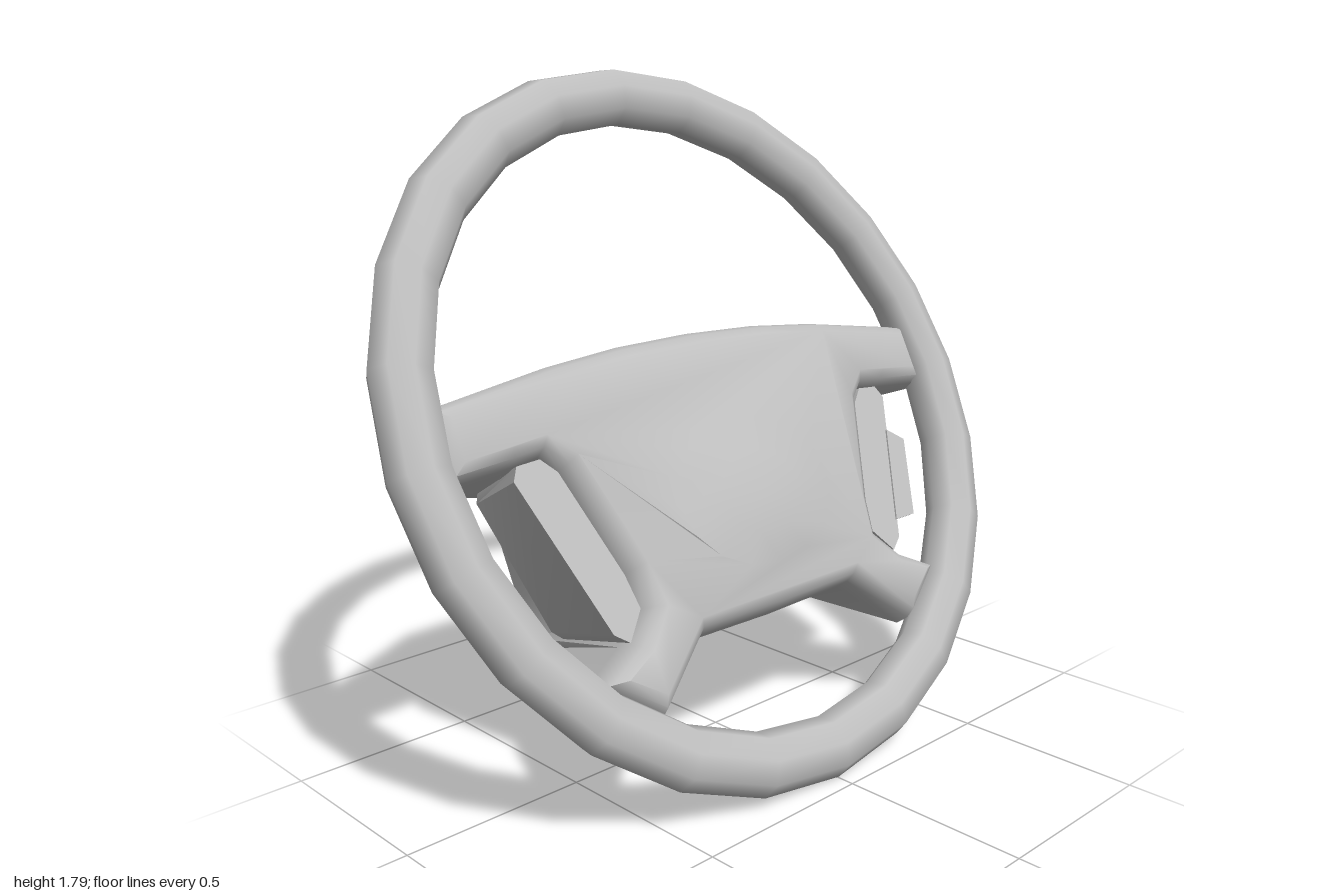
import * as THREE from 'three';
import { toCreasedNormals } from 'three/addons/utils/BufferGeometryUtils.js';

// Half outline of the hub, top to bottom: front x, front y, back x, back y
const HALF = [
  [0, 0.235, 0, 0.17], [0.25, 0.228, 0.15, 0.17], [0.48, 0.207, 0.3, 0.17],
  [0.86, 0.15, 0.41, 0.165], [0.86, -0.045, 0.46, 0], [0.67, -0.03, 0.47, -0.02],
  [0.59, -0.02, 0.47, -0.03], [0.545, -0.06, 0.47, -0.07], [0.45, -0.34, 0.47, -0.3],
  [0.435, -0.43, 0.47, -0.38], [0.5, -0.5, 0.47, -0.41], [0.64, -0.575, 0.46, -0.44],
  [0.47, -0.7, 0.4, -0.48], [0.28, -0.545, 0.2, -0.52], [0, -0.55, 0, -0.53],
];

// Moves a clockwise outline inwards by d
function inset(points, d) {
  const n = points.length;
  return points.map((p, i) => {
    const a = points[(i + n - 1) % n], b = points[(i + 1) % n];
    const e1 = p.clone().sub(a).normalize(), e2 = b.clone().sub(p).normalize();
    const normal = new THREE.Vector2(e1.y + e2.y, -e1.x - e2.x).normalize();
    const k = Math.max(0.6, normal.x * e1.y - normal.y * e1.x);
    return p.clone().addScaledVector(normal, d / k);
  });
}

// Open-backed shell: domed front, rounded edge and walls running to the back rim
function hubGeometry() {
  const all = [...HALF, ...HALF.slice(1, -1).reverse().map(([a, b, c, d]) => [-a, b, -c, d])];
  const edge = all.map((p) => new THREE.Vector2(p[0], p[1]));
  const back = all.map((p) => new THREE.Vector2(p[2], p[3]));
  const face = inset(edge, 0.045);
  const ellipse = (rx, ry, cy) => Array.from({ length: 16 }, (_, i) => {
    const a = i * Math.PI / 8;
    return new THREE.Vector2(Math.sin(a) * rx, cy + Math.cos(a) * ry);
  });
  const outer = ellipse(0.27, 0.2, -0.23), inner = ellipse(0.14, 0.11, -0.24);
  const pos = [], index = [];
  const add = (ring, w) => {
    const start = pos.length / 3;
    ring.forEach((p) => pos.push(p.x, p.y, w));
    return start;
  };
  const band = (a, b, n) => {
    for (let i = 0; i < n; i++) {
      const j = (i + 1) % n;
      index.push(a + i, b + i, b + j, a + i, b + j, a + j);
    }
  };
  const n = all.length;
  const s = [
    add(back, -0.455), add(edge, -0.06), add(inset(edge, 0.006), -0.015),
    add(inset(edge, 0.022), 0.018), add(face, 0.036),
  ];
  const o = add(outer, 0.058), c = add(inner, 0.076);
  const mid = add([new THREE.Vector2(0, -0.25)], 0.084);
  for (let i = 0; i < 4; i++) band(s[i], s[i + 1], n);
  // web between the edge and the dome
  const pts = [...face, ...outer];
  THREE.ShapeUtils.triangulateShape(face, [outer]).forEach(([i, j, k]) => {
    const area = pts[j].clone().sub(pts[i]).cross(pts[k].clone().sub(pts[i]));
    const t = area > 0 ? [i, j, k] : [i, k, j];
    t.forEach((v) => index.push(s[4] + v));
  });
  // dome
  band(o, c, 16);
  for (let i = 0; i < 16; i++) index.push(mid, c + (i + 1) % 16, c + i);
  // turn every band outwards
  for (let i = 0; i < index.length; i += 3) {
    const [a, b, d] = [0, 1, 2].map((k) => new THREE.Vector3().fromArray(pos, index[i + k] * 3));
    const nz = b.sub(a).cross(d.sub(a)).z;
    if (index[i] >= s[1] && index[i + 1] >= s[1] && index[i + 2] >= s[1] && nz < 0) {
      [index[i + 1], index[i + 2]] = [index[i + 2], index[i + 1]];
    }
  }
  const g = new THREE.BufferGeometry();
  g.setAttribute('position', new THREE.Float32BufferAttribute(pos, 3));
  g.setIndex(index);
  return toCreasedNormals(g, 1.0);
}

// Prism from an outline, mirrored by side, between two depths
function prism(outline, side, w0, w1) {
  const shape = new THREE.Shape(outline.map(([x, y]) => new THREE.Vector2(side * x, y)));
  const g = new THREE.ExtrudeGeometry(shape, { depth: w1 - w0, bevelEnabled: false });
  return g.translate(0, 0, w0);
}

// Control pad narrowing towards the back
function padGeometry(side) {
  const outline = [
    [0.59, -0.02], [0.66, -0.025], [0.68, -0.06], [0.54, -0.47], [0.5, -0.5],
    [0.44, -0.43], [0.455, -0.34], [0.55, -0.06],
  ];
  const g = prism(outline, side, -0.28, -0.005);
  const p = g.attributes.position;
  for (let i = 0; i < p.count; i++) {
    if (p.getZ(i) > -0.1) continue;
    p.setX(i, side * (0.47 + (side * p.getX(i) - 0.47) * 0.7));
    p.setY(i, p.getY(i) * 0.88);
  }
  return toCreasedNormals(g, 0.7);
}

export function createModel() {
  const grey = new THREE.MeshStandardMaterial({ color: 0xbfbfbf, side: THREE.DoubleSide });
  grey.name = 'grey plastic';
  const wheel = new THREE.Group();
  wheel.name = 'steeringWheel';
  const add = (name, geometry) => {
    const mesh = new THREE.Mesh(geometry, grey);
    mesh.name = name;
    wheel.add(mesh);
  };

  // rim with a slightly flattened section
  add('rim', new THREE.TorusGeometry(0.919, 0.081, 8, 24).scale(1, 1, 0.9));
  add('hubAndSpokes', hubGeometry());

  // control pads beside the hub
  for (const side of [-1, 1]) add(side > 0 ? 'leftPad' : 'rightPad', padGeometry(side));

  // small switch on the left pad
  add('switch', prism([[0.64, -0.16], [0.7, -0.2], [0.63, -0.42], [0.55, -0.42]], 1, -0.04, 0));

  // tilt the wheel back
  wheel.rotation.x = -0.471;
  wheel.position.y = 0.902;
  const model = new THREE.Group();
  model.name = 'model';
  model.add(wheel);
  return model;
}
